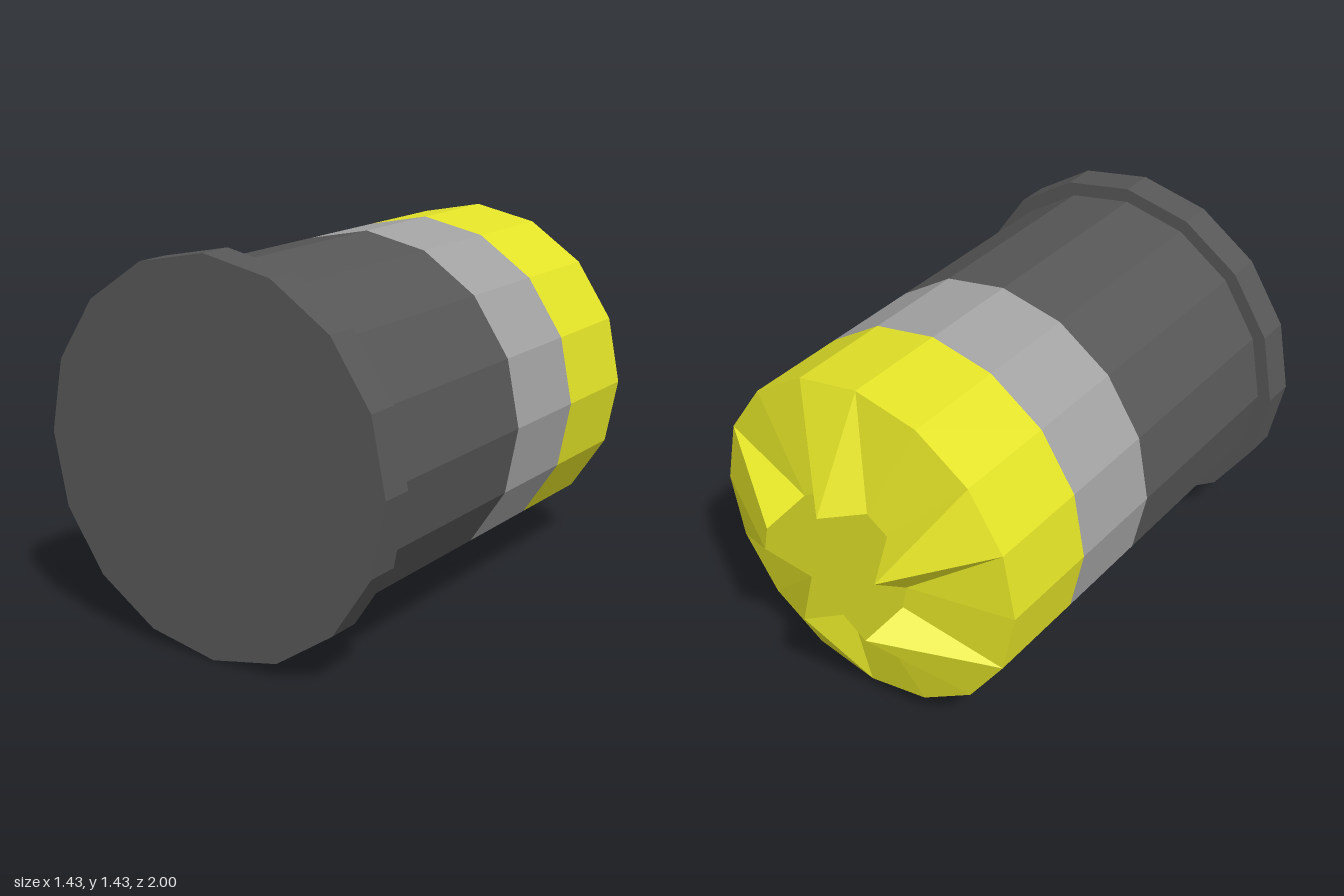
import * as THREE from 'three';

const SIDES = 16;
const BODY_R = 0.66, RIM_R = 0.715, TIP_R = 0.265;
const DARK = 0x575757, GREY = 0xa3a3a3, YELLOW = 0xe4e428;

const material = (color, flatShading = true) => {
  const m = new THREE.MeshStandardMaterial({ flatShading });
  m.color.set(color);
  return m;
};

// 16-sided band along z between two depths
function band(name, radius, z0, z1, color, open) {
  const g = new THREE.CylinderGeometry(radius, radius, z0 - z1, SIDES, 1, open);
  g.rotateX(Math.PI / 2);
  g.translate(0, 0, (z0 + z1) / 2);
  const mesh = new THREE.Mesh(g, material(color));
  mesh.name = name;
  return mesh;
}

function facets(name, triangles, mat) {
  const g = new THREE.BufferGeometry().setFromPoints(triangles.flat());
  g.computeVertexNormals();
  const mesh = new THREE.Mesh(g, mat);
  mesh.name = name;
  return mesh;
}

const ringPoint = (i, radius, z) => {
  const a = (i / SIDES) * Math.PI * 2;
  return new THREE.Vector3(Math.cos(a) * radius, Math.sin(a) * radius, z);
};

export function createModel() {
  const group = new THREE.Group();
  group.name = 'cartridge';

  // Plain casing: wide rim, dark sleeve, grey band, yellow collar
  group.add(
    band('rim', RIM_R, 1, 0.87, DARK, false),
    band('darkSleeve', BODY_R, 0.87, 0.05, DARK, true),
    band('greyBand', BODY_R, 0.05, -0.36, GREY, true),
    band('yellowCollar', BODY_R, -0.36, -0.77, YELLOW, true)
  );

  // Crimped nose: every third inner corner is raised, the rest are sunk
  const outer = [], inner = [];
  for (let i = 0; i < SIDES; i++) {
    outer.push(ringPoint(i, BODY_R, -0.77));
    inner.push(ringPoint(i, TIP_R, i === 0 || i % 3 === 1 ? -1 : -0.86));
  }
  const folds = [];
  for (let i = 0; i < SIDES; i++) {
    const j = (i + 1) % SIDES;
    folds.push([outer[i], inner[i], inner[j]], [outer[i], inner[j], outer[j]]);
  }
  group.add(facets('crimpFolds', folds, material(YELLOW)));

  // Creased centre: corners clipped off in rounds, until two triangles remain
  const centre = [];
  const at = (i) => inner[i % SIDES];
  for (const [start, step] of [[0, 1], [2, 2], [2, 4]]) {
    for (let i = start; i < start + SIDES; i += step * 2) {
      centre.push([at(i), at(i + step * 2), at(i + step)]);
    }
  }
  // The last round leaves the crease between two opposite corners
  const cap = facets('crimpCentre', centre, material(YELLOW, false));
  const normal = cap.geometry.attributes.normal;
  for (let i = 0; i < normal.count; i++) normal.setXYZ(i, 0, 0, -1);
  group.add(cap);

  group.position.y = RIM_R;
  const model = new THREE.Group();
  model.name = 'model';
  model.add(group);
  return model;
}
